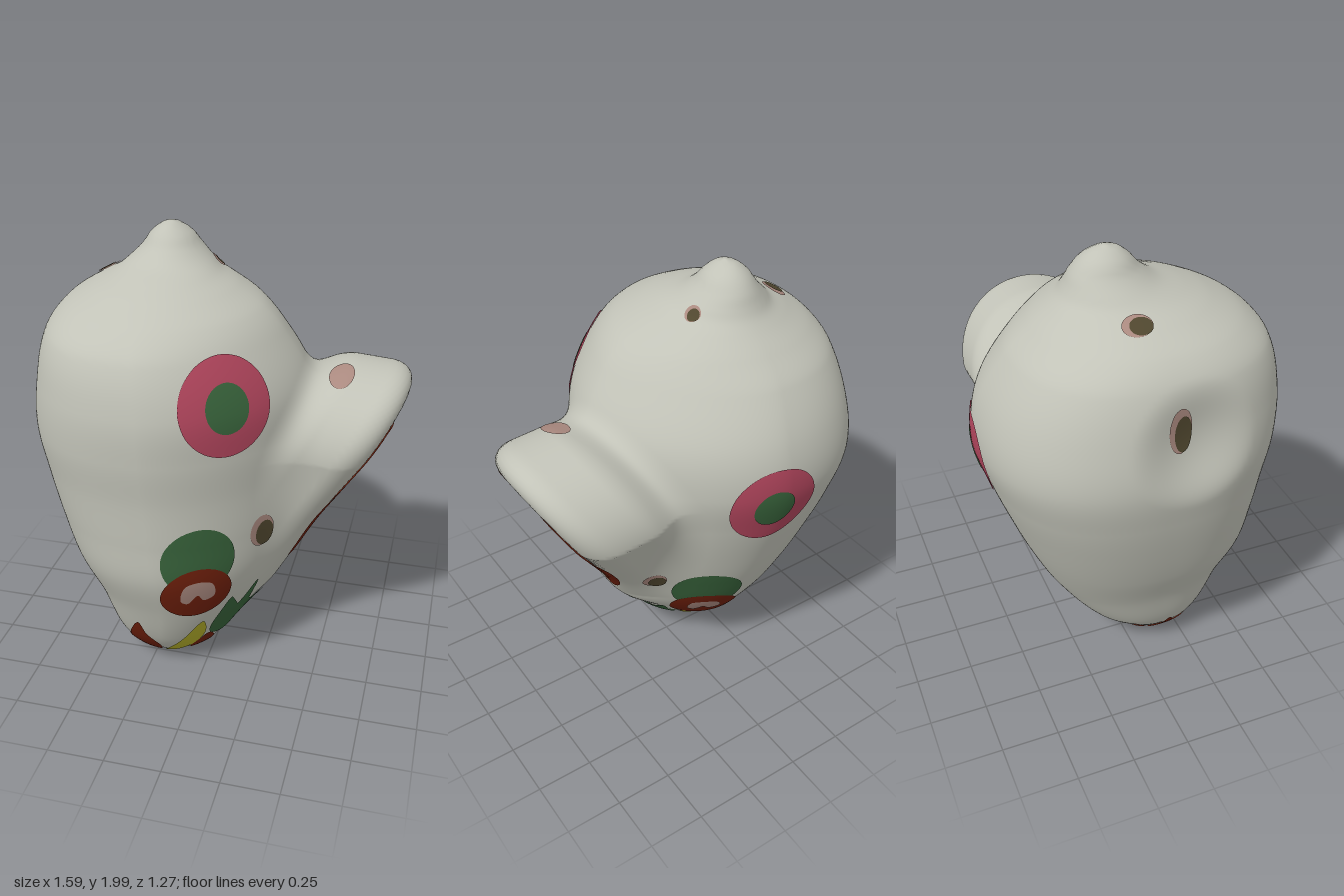
import * as THREE from 'three';

const V = (x, y, z) => new THREE.Vector3(x, y, z);
const mat = (name, color) => Object.assign(new THREE.MeshStandardMaterial({ color, side: THREE.DoubleSide }), { name });

// Body and knob cross-sections by height: [y, x min, x max, z min, z max]
const sections = [
  [.008, -.23, -.15, .11, .19], [.02, -.31, -.08, .04, .25], [.1, -.4, .03, -.05, .34],
  [.2, -.46, .11, -.18, .41], [.4, -.53, .24, -.33, .495], [.6, -.62, .32, -.43, .57],
  [.8, -.69, .37, -.51, .59], [1, -.745, .4, -.58, .605], [1.2, -.78, .42, -.63, .63],
  [1.4, -.76, .4, -.6, .63], [1.6, -.71, .29, -.49, .57], [1.7, -.64, .2, -.39, .47],
  [1.77, -.53, .08, -.31, .34], [1.81, -.45, .0, -.27, .24], [1.85, -.4, -.05, -.245, .13], [1.9, -.35, -.1, -.22, .06],
  [1.95, -.315, -.14, -.18, .015], [1.985, -.27, -.19, -.13, -.03], [1.997, -.24, -.215, -.09, -.065],
];

// Smooth cubic through the section table at height y
function sectionAt(y) {
  let i = 0;
  while (i < sections.length - 2 && y > sections[i + 1][0]) i++;
  const a = sections[i], b = sections[i + 1], h = b[0] - a[0], t = (y - a[0]) / h;
  const before = sections[Math.max(i - 1, 0)], after = sections[Math.min(i + 2, sections.length - 1)];
  return [1, 2, 3, 4].map(k => {
    const ma = (b[k] - before[k]) / (b[0] - before[0]) * h, mb = (after[k] - a[k]) / (after[0] - a[0]) * h;
    const t2 = t * t, t3 = t2 * t;
    return (2 * t3 - 3 * t2 + 1) * a[k] + (t3 - 2 * t2 + t) * ma + (3 * t2 - 2 * t3) * b[k] + (t3 - t2) * mb;
  });
}

const smin = (a, b, k) => {
  const h = Math.max(k - Math.abs(a - b), 0) / k;
  return Math.min(a, b) - h * h * k / 4;
};

// Squarer towards -x, leaner towards the paddle side
function bodyField(x, y, z) {
  const yc = THREE.MathUtils.clamp(y, .008, 1.997);
  const [x0, x1, z0, z1] = sectionAt(yc);
  const rx = Math.max((x1 - x0) / 2, .01), rz = Math.max((z1 - z0) / 2, .01);
  const dx = (x - (x0 + x1) / 2) / rx, dz = (z - (z0 + z1) / 2) / rz;
  const blend = THREE.MathUtils.smoothstep(y, 1.6, 1.85);
  const e = THREE.MathUtils.lerp(dx < 0 ? 2.4 : 1.7, 2, blend);
  const n = Math.pow(Math.pow(Math.abs(dx), e) + Math.pow(Math.abs(dz), e), 1 / e);
  const d = (n - 1) * Math.min(rx, rz);
  return y === yc ? d : Math.max(d, Math.abs(y - yc));
}

// Flat tapering paddle that leans out towards +x
function paddleField(x, y, z) {
  const t = .854 * x - .52 * y, u = .52 * x + .854 * y - .5 * t;
  const h = THREE.MathUtils.clamp((u - .5) / .78, 0, 1);
  const d = Math.hypot(u - (.5 + .78 * h), z - (.02 - .125 * h)) - (.12 + .255 * h);
  const a = d + .12, b = Math.abs(t + .185) - .065;
  return Math.hypot(Math.max(a, 0), Math.max(b, 0)) + Math.min(Math.max(a, b), 0) - .12;
}

function field(p) {
  const { x, y, z } = p;
  const d = smin(bodyField(x, y, z), paddleField(x, y, z), .14);
  const dent = .45 - Math.hypot(x + 1.15, y - 1.42, z - .12); // hollow on the right side
  return -smin(-d, -dent, .06);
}

function normalAt(p) {
  const e = .006, g = V(0, 0, 0);
  for (const k of ['x', 'y', 'z']) {
    const a = p.clone(), b = p.clone();
    a[k] += e; b[k] -= e;
    g[k] = field(a) - field(b);
  }
  return g.normalize();
}

// First surface point along a ray from outside
function hit(origin, dir, max) {
  let t = 0, last = 0;
  const p = V(0, 0, 0), at = s => p.copy(origin).addScaledVector(dir, s);
  while (t < max) {
    const d = field(at(t));
    if (d < 0) break;
    last = t;
    t += Math.max(d * .45, .003);
  }
  for (let i = 0; i < 12; i++) {
    const m = (last + t) / 2;
    if (field(at(m)) < 0) t = m; else last = m;
  }
  return at(t).clone();
}

function bodyGeometry() {
  const geo = new THREE.SphereGeometry(1, 220, 150);
  const pos = geo.attributes.position, nor = geo.attributes.normal, c = V(0, .95, -.05);
  for (let i = 0; i < pos.count; i++) {
    const dir = V(0, 0, 0).fromBufferAttribute(pos, i).normalize();
    const p = hit(c.clone().addScaledVector(dir, 1.4), dir.clone().negate(), 1.4);
    const n = normalAt(p);
    pos.setXYZ(i, p.x, p.y, p.z);
    nor.setXYZ(i, n.x, n.y, n.z);
  }
  return geo;
}

// Painted patch: closed outline in the plane facing n, laid onto the surface
function patchGeometry(c, n, outline, lift) {
  n = n.clone().normalize();
  const right = V(0, 1, 0).cross(n).normalize(), up = n.clone().cross(right);
  const pts = outline.map(([a, b]) => V(a, b, 0));
  if (THREE.ShapeUtils.area(pts) < 0) pts.reverse();
  const edge = new THREE.CatmullRomCurve3(pts, true, 'centripetal').getPoints(64);
  const mid = pts.reduce((s, p) => s.add(p), V(0, 0, 0)).divideScalar(pts.length);
  const rings = 9, cols = edge.length, pos = [], nor = [], idx = [];
  for (let i = 0; i <= rings; i++) {
    for (let j = 0; j < cols; j++) {
      const q = mid.clone().lerp(edge[j], i / rings);
      const o = c.clone().addScaledVector(right, q.x).addScaledVector(up, q.y).addScaledVector(n, 1.2);
      const p = hit(o, n.clone().negate(), 2.4), m = normalAt(p);
      p.addScaledVector(m, lift);
      pos.push(...p.toArray());
      nor.push(...m.toArray());
      if (i && j) {
        const a = (i - 1) * cols + j - 1, b = a + cols;
        idx.push(a, b, b + 1, a, b + 1, a + 1);
      }
    }
  }
  const geo = new THREE.BufferGeometry();
  geo.setAttribute('position', new THREE.Float32BufferAttribute(pos, 3));
  geo.setAttribute('normal', new THREE.Float32BufferAttribute(nor, 3));
  geo.setIndex(idx);
  return geo;
}

const oval = (rx, ry, x = 0, y = 0) => Array.from({ length: 12 }, (_, i) =>
  [x + rx * Math.cos(i * Math.PI / 6), y + ry * Math.sin(i * Math.PI / 6)]);

export function createModel() {
  const glaze = mat('pale glaze', 0xc2c3b8), pink = mat('rose paint', 0xb0455c), green = mat('green paint', 0x38633b);
  const brown = mat('red brown paint', 0x70200c), yellow = mat('yellow paint', 0xb5b02a);
  const clay = mat('bare clay', 0xab8a80), dark = mat('hole shadow', 0x50472f);

  const group = new THREE.Group();
  const add = (name, geo, m) => {
    const mesh = new THREE.Mesh(geo, m);
    mesh.name = name;
    group.add(mesh);
  };
  const patch = (name, m, c, n, outline, lift = .005) => add(name, patchGeometry(c, n, outline, lift), m);
  const O = V(0, 0, 0), FRONT = V(0, 0, 1), BACK = V(0, 0, -1), SIDE = V(1, 0, 0);
  const side = pts => pts.map(([z, y]) => [-z, y]);
  const back = pts => pts.map(([x, y]) => [-x, y]);

  add('body', bodyGeometry(), glaze);

  // Ringed spots on both flanks
  for (const [c, n, r] of [[V(.09, 1.42, .41), V(.68, .05, .72), .2], [V(-.13, 1.14, -.57), V(.3, -.2, -.93), .19]]) {
    patch('spotRing', pink, c, n, oval(r, r));
    patch('spotCentre', green, c, n, oval(r * .47, r * .5), .008);
  }

  // Eyes with green lids
  for (const [c, n] of [[V(.02, .545, .49), V(.55, -.08, .83)], [V(-.02, .36, -.28), V(.4, -.35, -.85)]]) {
    patch('eyelid', green, c, n, oval(.16, .17, 0, .18), .004);
    patch('eyeRing', brown, c, n, oval(.155, .15), .007);
    patch('eyeCentre', clay, c, n, [[-.07, -.03], [-.06, .06], [0, .08], [.06, .06], [.075, -.02], [.03, -.04], [0, 0], [-.04, -.05]], .009);
  }

  // Long stripes on the paddle
  patch('stripe', brown, O, SIDE, side([[.17, 1.18], [.13, 1.235], [.05, 1.245], [-.04, 1.22], [-.08, 1.12], [-.06, .97], [.02, .78], [.09, .6], [.13, .56], [.14, .65], [.17, .9]]));
  patch('stripe', brown, O, SIDE, side([[-.13, 1.12], [-.18, 1.19], [-.25, 1.21], [-.33, 1.19], [-.37, 1.1], [-.34, .95], [-.24, .75], [-.11, .56], [-.06, .53], [-.07, .62], [-.11, .85]]));

  // Leaves beside the snout
  patch('leaf', green, O, SIDE, side([[.36, .46], [.3, .37], [.255, .5], [.215, .36], [.14, .38], [.16, .27], [.16, .18], [.22, .16], [.3, .2], [.35, .3]]));
  patch('leaf', green, O, SIDE, side([[.08, .32], [.05, .25], [0, .34], [-.02, .26], [-.14, .34], [-.08, .22], [-.04, .15], [.02, .08], [.1, .09], [.12, .18]]));

  // Snout markings
  patch('snoutBlade', yellow, O, FRONT, [[.02, .33], [.01, .22], [-.07, .11], [-.2, .035], [-.17, .09], [-.08, .2]]);
  patch('snoutBlade', yellow, O, BACK, back([[-.05, .18], [-.05, .12], [-.1, .06], [-.17, .03], [-.16, .07], [-.1, .14]]));
  patch('snoutPatch', brown, O, SIDE, side([[.31, .2], [.25, .15], [.22, .08], [.26, .07], [.31, .12]]));
  patch('snoutPatch', brown, O, SIDE, side([[.16, .045], [.13, .08], [.06, .085], [.09, .06]]));
  patch('snoutFlame', brown, O, FRONT, [[-.265, .31], [-.24, .23], [-.19, .13], [-.23, .03], [-.3, .03], [-.39, .1], [-.35, .12], [-.32, .22]]);
  patch('snoutFlame', brown, V(-.28, .05, .03), V(-.1, -.8, -.6), oval(.11, .055));
  patch('snoutFlame', brown, O, V(-1, 0, 0), [[.1, .04], [.12, .1], [.16, .18], [.2, .1], [.25, .05], [.17, .03]]);

  // Sound holes, each with a bare clay rim
  const holes = [
    [V(.245, .8, .3), V(.6, 0, .8), .06, .08], [V(.24, .64, -.26), V(.5, -.25, -.83), .055, .06],
    [V(-.05, 1.82, -.12), V(.8, .5, -.2), .035, .035], [V(-.48, 1.75, -.06), V(-.5, .85, 0), .06, .05],
    [V(-.7, 1.43, .03), V(-1, .1, 0), .05, .1],
  ];
  for (const [c, n, rx, ry] of holes) {
    patch('holeRim', clay, c, n, oval(rx, ry), .004);
    patch('hole', dark, c, n, oval(rx * .75, ry * .8, rx * .2, -ry * .15), .007);
  }
  patch('paddleBareSpot', clay, V(.53, 1.44, .02), V(0, 1, 0.01), oval(.052, .08));
  patch('snoutTipBareSpot', clay, V(-.19, 0, .14), V(0, -1, .01), oval(.05, .05));
  return group;
}
